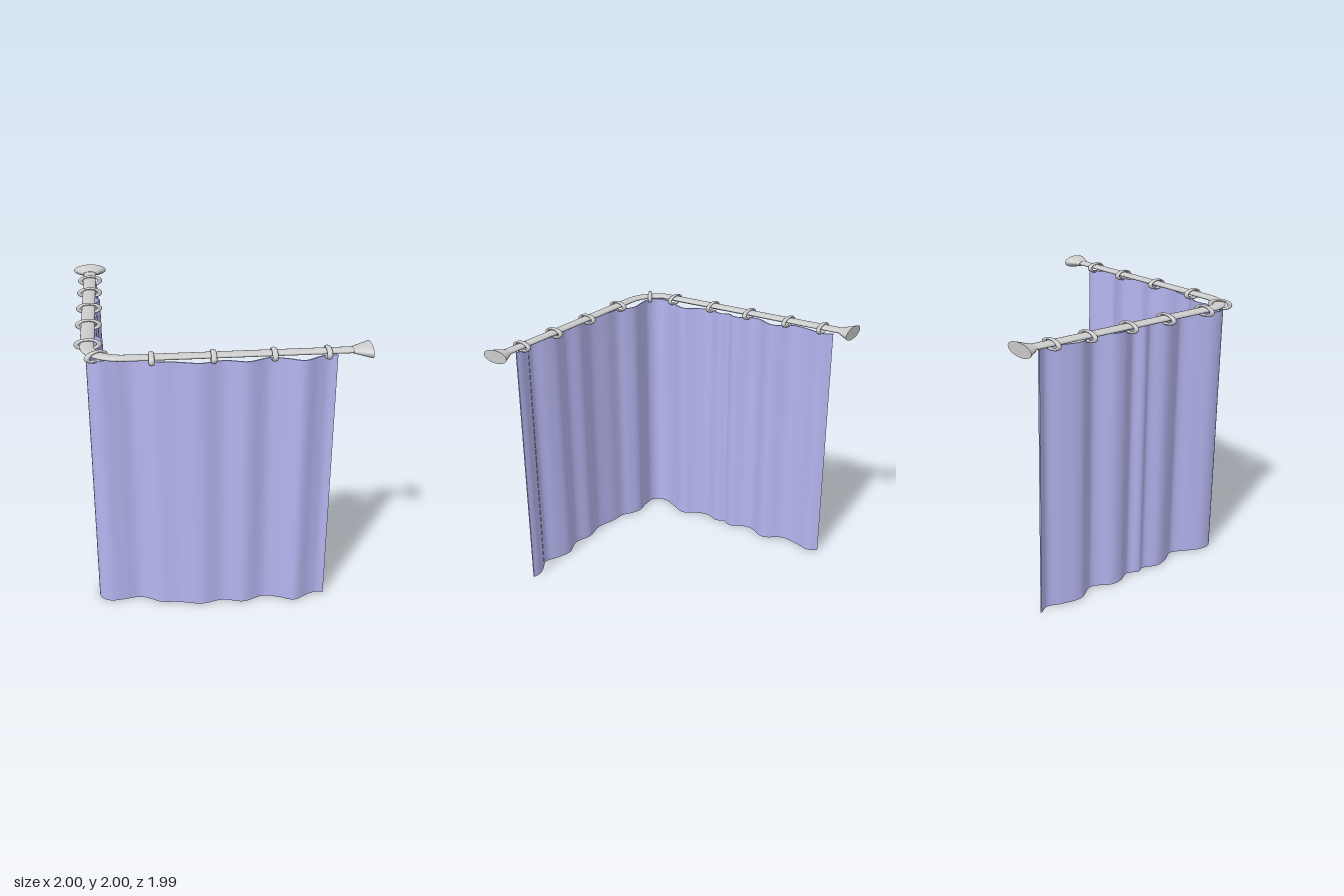
import * as THREE from 'three';
import { toCreasedNormals } from 'three/addons/utils/BufferGeometryUtils.js';

const metal = new THREE.MeshStandardMaterial({ color: 0xcccccc });
const cloth = new THREE.MeshStandardMaterial({ color: 0xb5b5f0, side: THREE.DoubleSide });

function addMesh(parent, name, geometry, material, x = 0, y = 0, z = 0) {
  const mesh = new THREE.Mesh(geometry, material);
  mesh.name = name;
  mesh.position.set(x, y, z);
  parent.add(mesh);
  return mesh;
}

// L-shaped rail with round section; the whole group is squashed into an oval section
function createRail() {
  const rail = new THREE.Group();
  rail.name = 'rail';
  const sx = 1.2;
  rail.scale.set(sx, 0.45, 1);
  rail.position.y = 1.9525;

  const r = 0.04, bend = 0.21, flangeR = 0.107, flangeL = 0.1;
  const railX = -0.867 / sx, railZ = 0.885, endX = 1 / sx, endZ = -1;
  const bendX = railX + bend, bendZ = railZ - bend;

  // straight rods
  const sideLength = bendZ - endZ - 0.02, frontLength = endX - bendX - 0.02;
  addMesh(rail, 'sideRod', new THREE.CylinderGeometry(r, r, sideLength, 24).rotateX(Math.PI / 2),
    metal, railX, 0, bendZ - sideLength / 2);
  addMesh(rail, 'frontRod', new THREE.CylinderGeometry(r, r, frontLength, 24).rotateZ(Math.PI / 2),
    metal, bendX + frontLength / 2, 0, railZ);

  // quarter-circle corner
  const corner = new THREE.TorusGeometry(bend, r, 24, 20, Math.PI / 2);
  corner.rotateZ(Math.PI / 2).rotateX(Math.PI / 2);
  addMesh(rail, 'cornerRod', corner, metal, bendX, 0, bendZ);

  // flared wall flanges
  const flange = new THREE.CylinderGeometry(flangeR, r + 0.004, flangeL, 32);
  addMesh(rail, 'sideFlange', flange.clone().rotateX(-Math.PI / 2), metal, railX, 0, endZ + flangeL / 2);
  addMesh(rail, 'frontFlange', flange.clone().rotateZ(-Math.PI / 2), metal, endX - flangeL / 2, 0, railZ);

  // hanging rings: world x, z and turn about the vertical
  const ringGeometry = new THREE.TorusGeometry(0.064, 0.016, 12, 32);
  const rings = [
    ...[-0.75, -0.455, -0.105, 0.235, 0.605].map((z) => [-0.863, z, 0]),
    [-0.807, 0.82, 0.7],
    ...[-0.45, -0.045, 0.355, 0.715].map((x) => [x, 0.89, Math.PI / 2]),
  ];
  for (const [x, z, turn] of rings) {
    const ring = addMesh(rail, 'ring', ringGeometry, metal, x / sx, -0.018, z);
    ring.rotation.y = turn;
    ring.scale.y = 1.15;
  }
  return rail;
}

// Wavy cloth: a spline in plan, thickened and extruded downwards
function createCurtain() {
  const plan = [
    [-0.855, -0.845], [-0.815, -0.77], [-0.85, -0.65], [-0.87, -0.5], [-0.79, -0.355],
    [-0.86, -0.2], [-0.855, -0.12], [-0.803, -0.01], [-0.84, 0.07], [-0.815, 0.13],
    [-0.855, 0.25], [-0.825, 0.36], [-0.77, 0.46], [-0.825, 0.59], [-0.87, 0.7],
    [-0.86, 0.79], [-0.8, 0.835], [-0.7, 0.83], [-0.58, 0.812], [-0.5, 0.842],
    [-0.43, 0.885], [-0.3, 0.9], [-0.13, 0.937], [0.03, 0.905], [0.18, 0.94],
    [0.33, 0.885], [0.44, 0.91], [0.555, 0.955], [0.66, 0.9], [0.73, 0.875], [0.785, 0.885],
  ].map(([x, z]) => new THREE.Vector3(x, z, 0));
  const curve = new THREE.CatmullRomCurve3(plan);
  const half = 0.005, steps = 180, outer = [], inner = [];
  for (let i = 0; i <= steps; i++) {
    const p = curve.getPointAt(i / steps), t = curve.getTangentAt(i / steps);
    outer.push(new THREE.Vector2(p.x - t.y * half, p.y + t.x * half));
    inner.push(new THREE.Vector2(p.x + t.y * half, p.y - t.x * half));
  }
  const shape = new THREE.Shape([...outer, ...inner.reverse()]);
  const sheet = new THREE.ExtrudeGeometry(shape, { depth: 1.92, bevelEnabled: false });
  sheet.rotateX(Math.PI / 2).translate(0, 1.92, 0);
  return toCreasedNormals(sheet, 0.7);
}

export function createModel() {
  const model = new THREE.Group();
  model.name = 'cornerCurtain';
  model.add(createRail());
  addMesh(model, 'curtain', createCurtain(), cloth);
  return model;
}
